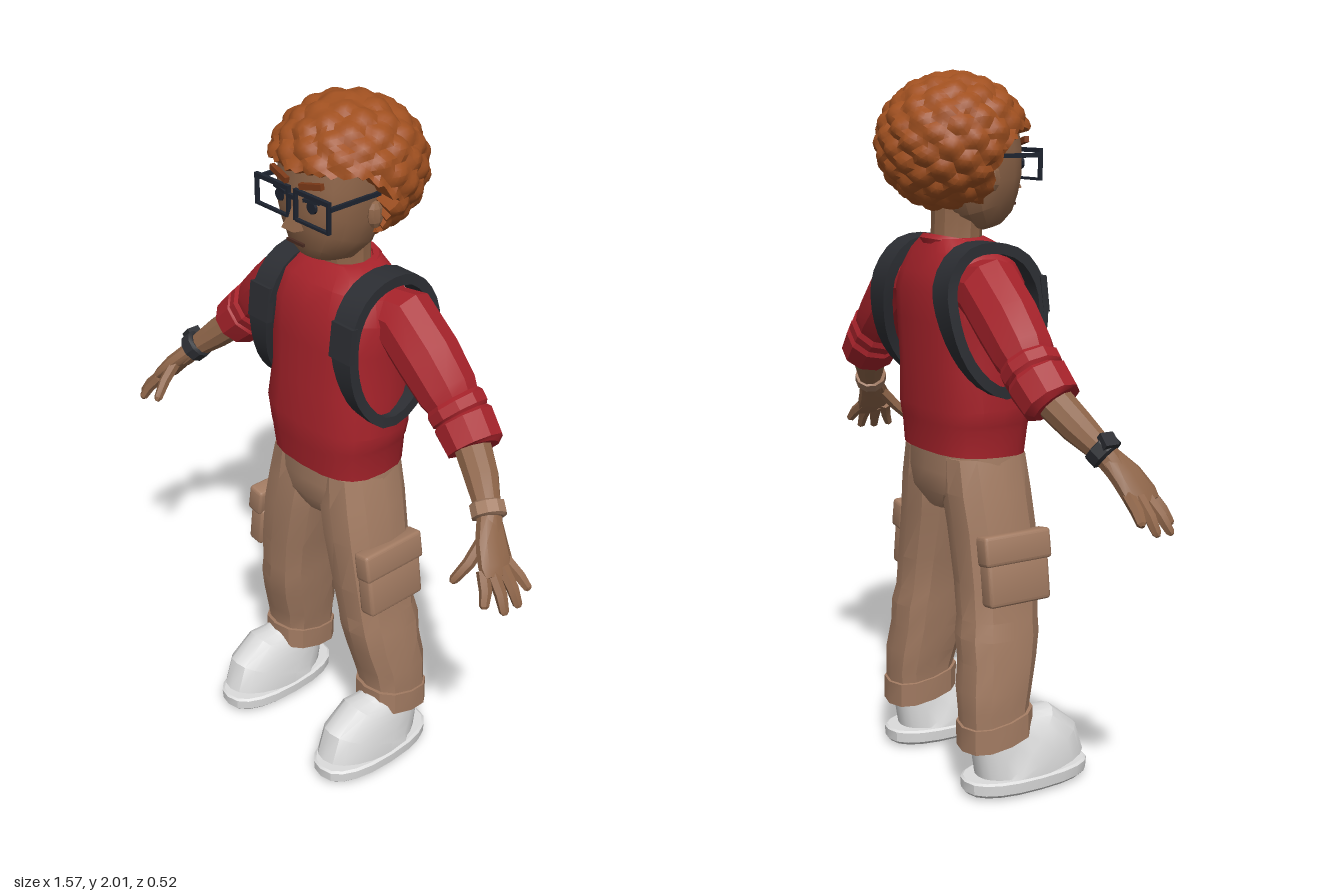
import * as THREE from 'three';
import { toCreasedNormals } from 'three/addons/utils/BufferGeometryUtils.js';
import { RoundedBoxGeometry } from 'three/addons/geometries/RoundedBoxGeometry.js';

const mat = (name, color) => {
  const m = new THREE.MeshStandardMaterial({ color });
  m.name = name;
  return m;
};
const V = (x, y, z) => new THREE.Vector3(x, y, z);
const X = V(1, 0, 0), Y = V(0, 1, 0), Z = V(0, 0, 1);

// Skin a row of superellipse sections [x, y, z, ru, rv]; four sides give a rectangle.
function loft(rows, { sides = 12, pow = 2, ref = Z, flat = false, closed = false } = {}) {
  const pos = [], idx = [], n = rows.length;
  const c = rows.map(r => V(r[0], r[1], r[2]));
  const box = sides === 4;
  const se = a => Math.sign(a) * Math.abs(a) ** (2 / pow);
  rows.forEach((r, i) => {
    const a = closed ? c[(i + n - 1) % n] : c[Math.max(i - 1, 0)];
    const b = closed ? c[(i + 1) % n] : c[Math.min(i + 1, n - 1)];
    const t = b.clone().sub(a).normalize();
    if (flat) t.set(0, Math.sign(t.y) || 1, 0);
    const u = t.clone().cross(ref).normalize(), v = u.clone().cross(t);
    for (let j = 0; j < sides; j++) {
      const th = (j + (box ? 0.5 : 0)) / sides * Math.PI * 2, k = box ? Math.SQRT2 : 1;
      const p = c[i].clone().addScaledVector(u, se(Math.cos(th)) * r[3] * k).addScaledVector(v, se(Math.sin(th)) * r[4] * k);
      pos.push(p.x, p.y, p.z);
    }
  });
  for (let i = 0; i < (closed ? n : n - 1); i++) for (let j = 0; j < sides; j++) {
    const k = (j + 1) % sides, i2 = (i + 1) % n;
    const a = i * sides + j, b = i2 * sides + j, d = i * sides + k, e = i2 * sides + k;
    idx.push(a, b, d, d, b, e);
  }
  if (!closed) {
    pos.push(...c[0].toArray(), ...c[n - 1].toArray());
    const s = n * sides, l = (n - 1) * sides;
    for (let j = 0; j < sides; j++) {
      const k = (j + 1) % sides;
      idx.push(s, j, k, s + 1, l + k, l + j);
    }
  }
  const g = new THREE.BufferGeometry();
  g.setAttribute('position', new THREE.Float32BufferAttribute(pos, 3));
  g.setIndex(idx);
  return g;
}

// Curly hair: an ellipsoid covered in bumps, tucked inside the head over the face.
function hairGeometry() {
  const g = new THREE.IcosahedronGeometry(1, 13), p = g.attributes.position, curls = [];
  for (let i = 0; i < 130; i++) {
    const y = 1 - 2 * i / 129, r = Math.sqrt(1 - y * y), a = i * 2.39996;
    curls.push(V(Math.cos(a) * r, y, Math.sin(a) * r));
  }
  const d = V(0, 0, 0);
  for (let i = 0; i < p.count; i++) {
    d.fromBufferAttribute(p, i).normalize();
    const ang = Math.acos(Math.min(1, Math.max(...curls.map(q => q.dot(d)))));
    let r = 0.93 + 0.09 * Math.max(0, 1 - (ang / 0.2) ** 2);
    const y = 1.805 + d.y * 0.19 * r, z = -0.04 + d.z * 0.215 * r;
    if (z > -0.01 && y < 1.835 - Math.max(0, 0.06 - z)) r = 0.6;
    p.setXYZ(i, d.x * 0.215 * r, 1.805 + d.y * 0.19 * r, -0.04 + d.z * 0.215 * r);
  }
  return g;
}

export function createModel() {
  const root = new THREE.Group();
  root.name = 'person';
  const skin = mat('skin', 0x8e6549), hair = mat('hair', 0xa05020), brow = mat('eyebrow', 0x7d3a18);
  const red = mat('sweater', 0xa8232b), tan = mat('trousers', 0xa27b62), dark = mat('strap', 0x2c2e33);
  const white = mat('shoe', 0xdcdcdc), black = mat('glasses', 0x1e2430), lip = mat('mouth', 0x4a2c22);

  const add = (name, geo, m, place) => {
    const mesh = new THREE.Mesh(toCreasedNormals(geo, 0.5), m);
    mesh.name = name;
    if (place) place(mesh);
    root.add(mesh);
    return mesh;
  };
  const at = (x, y, z, rx = 0, ry = 0, rz = 0) => o => { o.position.set(x, y, z); o.rotation.set(rx, ry, rz); };
  const box = (x, y, z) => new THREE.BoxGeometry(x, y, z);
  // Upright body from [y, rx, centre z, rz]
  const upright = (rows, x = 0) => rows.map(([y, rx, cz, rz]) => [x, y, cz, rx, rz]);

  // Head
  add('head', loft(upright([[1.575, .05, .06, .05], [1.595, .085, .055, .08], [1.64, .118, .035, .11],
    [1.70, .135, .02, .13], [1.78, .145, .01, .135], [1.86, .14, 0, .13], [1.92, .09, -.02, .08]]),
    { sides: 16, pow: 2.5 }), skin);
  add('neck', loft(upright([[1.48, .085, -.035, .075], [1.55, .073, -.03, .07], [1.64, .075, -.025, .072]])), skin);
  add('hair', hairGeometry(), hair);
  add('nose', new THREE.CylinderGeometry(.008, .034, .07, 4, 1, false, Math.PI / 4), skin, at(0, 1.708, .142, -.15));
  add('mouth', box(.065, .008, .008), lip, at(0, 1.635, .143));

  // Sweater body and collar
  add('sweaterBody', loft(upright([[.955, .192, -.005, .138], [1.03, .198, -.003, .145], [1.045, .203, -.003, .147],
    [1.09, .212, -.003, .15], [1.2, .2, -.01, .145], [1.33, .205, -.015, .146], [1.42, .21, -.02, .142],
    [1.48, .185, -.03, .125], [1.525, .14, -.04, .095], [1.55, .088, -.04, .08]]), { sides: 20, pow: 2.8 }), red);
  add('collar', new THREE.TorusGeometry(.085, .016, 6, 18), red, at(0, 1.53, -.033, Math.PI / 2 + .2));

  // Trouser seat
  add('trouserSeat', loft(upright([[.79, .07, -.005, .1], [.84, .17, -.005, .125], [.9, .195, -.005, .13], [.98, .184, -.005, .13]]),
    { sides: 16, pow: 2.6 }), tan);

  // Glasses bridge
  add('glassesBridge', box(.03, .012, .01), black, at(0, 1.765, .154));

  for (const s of [1, -1]) {
    const side = s > 0 ? 'left' : 'right';
    const flip = rows => rows.map(([x, ...r]) => [s * x, ...r]);

    // Face details
    add(side + 'Eye', new THREE.CylinderGeometry(.017, .017, .008, 10), black, at(s * .062, 1.748, .14, Math.PI / 2, 0, 0));
    add(side + 'EyeLid', box(.055, .009, .009), black, at(s * .062, 1.765, .141, 0, s * .15, s * .08));
    add(side + 'Eyebrow', box(.075, .016, .014), brow, at(s * .062, 1.806, .142, 0, s * .15, s * .2));
    add(side + 'Ear', new THREE.SphereGeometry(1, 8, 6), skin, o => {
      o.position.set(s * .143, 1.715, -.005);
      o.scale.set(.018, .038, .026);
    });

    // Glasses rim and temple
    const rim = new THREE.Shape([[-.067, -.042], [.067, -.042], [.067, .045], [-.067, .045]].map(q => new THREE.Vector2(...q)));
    rim.holes.push(new THREE.Path([[-.059, -.035], [-.059, .033], [.059, .033], [.059, -.035]].map(q => new THREE.Vector2(...q))));
    add(side + 'GlassesRim', new THREE.ExtrudeGeometry(rim, { depth: .011, bevelEnabled: false }), black, at(s * .077, 1.745, .148));
    add(side + 'GlassesTemple', box(.008, .012, .17), black, at(s * .147, 1.772, .068));

    // Sleeve with folds and rolled cuff
    add(side + 'Sleeve', loft(flip([[.12, 1.42, -.05, .075, .08], [.21, 1.42, -.055, .096, .09], [.3, 1.345, -.055, .093, .09],
      [.375, 1.275, -.055, .084, .085], [.395, 1.255, -.055, .074, .078], [.405, 1.246, -.055, .084, .086],
      [.425, 1.227, -.054, .082, .085], [.43, 1.222, -.054, .074, .077], [.438, 1.214, -.053, .084, .086],
      [.492, 1.163, -.045, .076, .084], [.497, 1.158, -.043, .06, .065]]), { sides: 10 }), red);

    // Forearm, wrist band and hand
    add(side + 'Forearm', loft(flip([[.46, 1.19, -.05, .05, .055], [.55, 1.11, -.01, .045, .048], [.615, 1.05, .028, .033, .036],
      [.65, 1.005, .05, .028, .036]]), { sides: 10 }), skin);
    add(side + 'WristBand', loft(flip([[.6, 1.068, .02, .038, .04], [.603, 1.065, .022, .046, .049],
      [.625, 1.043, .034, .046, .049], [.628, 1.04, .036, .036, .038]]), { sides: 10 }), s > 0 ? tan : dark);
    add(side + 'Palm', loft(flip([[.625, 1.04, .035, .026, .034], [.665, .992, .065, .026, .048], [.70, .948, .082, .021, .054],
      [.718, .928, .09, .014, .046]]), { sides: 10, pow: 2.4 }), skin);
    const fingers = [[[.70, .95, .045], [.775, .89, .033]], [[.71, .945, .07], [.782, .86, .078]],
      [[.705, .94, .1], [.778, .857, .125]], [[.69, .945, .12], [.735, .868, .158]], [[.65, 1.0, .085], [.633, .905, .175]]];
    fingers.forEach(([a, b], i) => {
      const mid = a.map((q, k) => (q + b[k]) / 2 + (k === 0 ? .007 : 0));
      add(side + (i < 4 ? 'Finger' : 'Thumb'), loft(flip([[...a, .018, .018], [...mid, .017, .017],
        [...a.map((q, k) => q + (b[k] - q) * .92), .013, .013], [...b, .006, .006]]), { sides: 6, ref: X }), skin);
    });

    // Shoulder strap loop
    const loop = new THREE.CatmullRomCurve3([[.155, 1.532, -.03], [.16, 1.505, .06], [.165, 1.42, .117], [.175, 1.3, .12],
      [.19, 1.2, .085], [.205, 1.14, .02], [.212, 1.155, -.05], [.205, 1.23, -.125], [.185, 1.34, -.165],
      [.165, 1.44, -.165], [.157, 1.515, -.11]].map(q => V(...q)), true);
    add(side + 'Strap', loft(loop.getSpacedPoints(30).slice(0, 30).map(q =>
      [s * q.x, q.y, q.z, .015, .021 + .018 * THREE.MathUtils.smoothstep(q.y, 1.14, 1.42)]),
      { sides: 4, ref: X, closed: true }), dark);
    add(side + 'StrapPad', box(.08, .1, .02), dark, at(s * .167, 1.4, .128, -.12));

    // Trouser leg with creases, turn-up and cargo pocket
    add(side + 'TrouserLeg', loft(flip([[.1, .95, -.003, .086, .122], [.11, .85, 0, .104, .126], [.13, .75, .005, .105, .124],
      [.158, .6, .003, .096, .12], [.172, .5, -.002, .092, .116], [.18, .45, -.008, .096, .12], [.19, .38, -.014, .093, .112],
      [.2, .3, -.03, .095, .106], [.207, .24, -.036, .086, .1], [.21, .17, -.033, .086, .1]]),
      { sides: 12, pow: 2.4, flat: true }), tan);
    const cuff = loft(flip([[.208, .222, -.033, .08, .09], [.208, .22, -.033, .092, .108], [.21, .15, -.033, .092, .108],
      [.21, .148, -.033, .07, .08]]), { sides: 12, pow: 2.4, flat: true });
    const cp = cuff.attributes.position;
    for (let i = 0; i < cp.count; i++) cp.setY(i, cp.getY(i) + (cp.getZ(i) + .03) * .2);
    add(side + 'TurnUp', cuff, tan);
    add(side + 'CargoPocket', new RoundedBoxGeometry(.055, .13, .2, 2, .012), tan, at(s * .243, .615, .012, 0, 0, s * .13));
    add(side + 'PocketFlap', new RoundedBoxGeometry(.055, .085, .216, 2, .01), tan, at(s * .236, .708, .012, 0, 0, s * .16));

    // Shoe: sole, upper and laces
    add(side + 'ShoeSole', loft(upright([[0, .086, .062, .19], [.01, .096, .062, .2], [.04, .098, .062, .202], [.045, .09, .062, .195]], s * .22),
      { sides: 20, pow: 2.4 }), white);
    add(side + 'ShoeUpper', loft(upright([[.04, .091, .06, .194], [.075, .09, .055, .186], [.105, .08, .03, .16], [.135, .07, -.005, .122],
      [.18, .062, -.035, .09]], s * .22), { sides: 20, pow: 2.3 }), white);
    [[.108, .172], [.124, .14], [.142, .11]].forEach(([y, z]) =>
      add(side + 'Lace', new RoundedBoxGeometry(.085, .018, .018, 1, .006), white, at(s * .22, y, z, .5)));
  }
  add('watchFace', box(.02, .04, .04), dark, at(-.645, 1.085, .02, 0, 0, -.8));
  return root;
}
